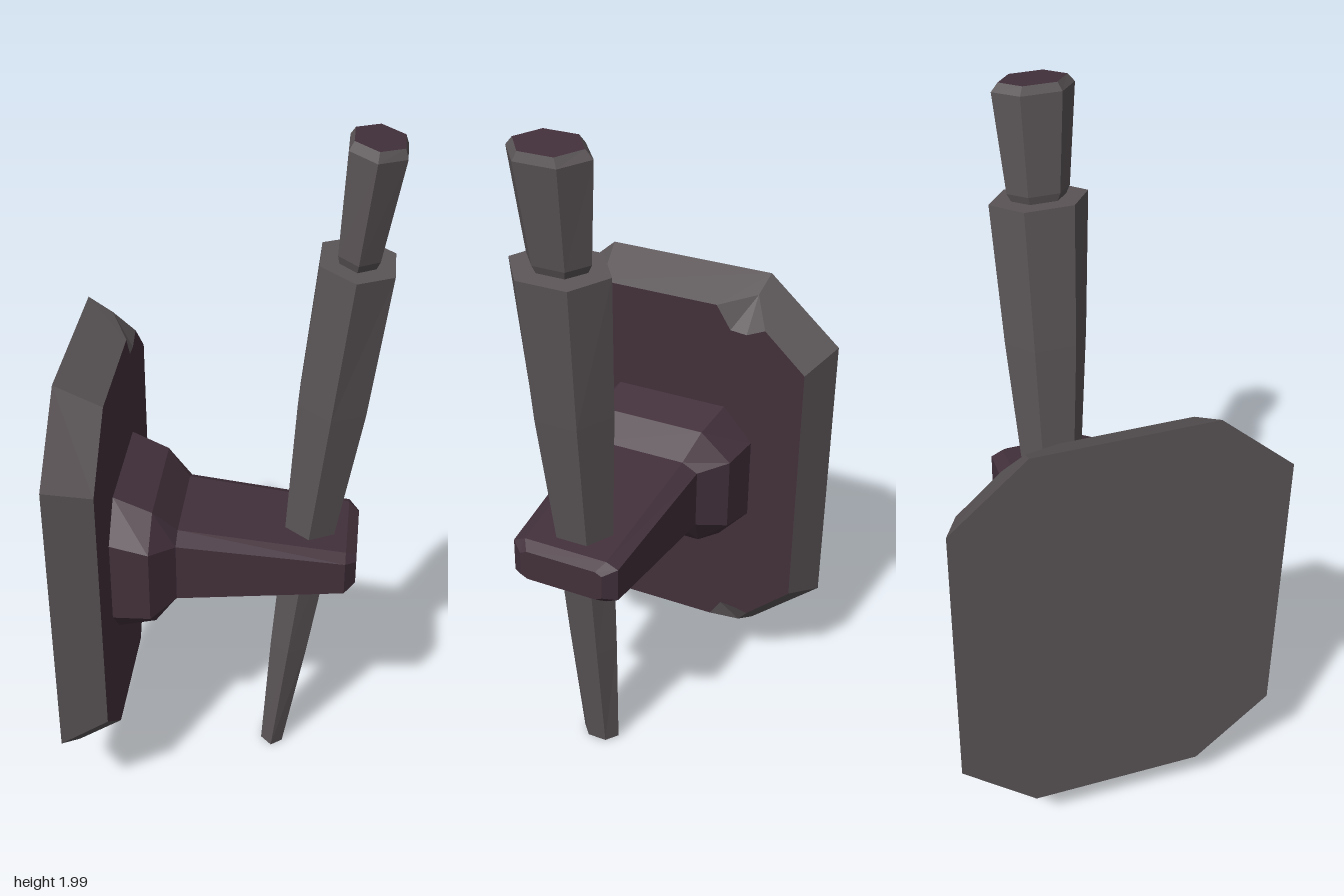
import * as THREE from 'three';

const grey = new THREE.MeshStandardMaterial({ color: 0x5b5557 });
grey.name = 'weathered grey';
const plum = new THREE.MeshStandardMaterial({ color: 0x42303a });
plum.name = 'dark plum';

// Flat-faced mesh from convex polygons, each a loop of [x, y, z] corners
function facets(name, material, polygons) {
  const pos = [];
  for (const p of polygons) {
    for (let i = 1; i < p.length - 1; i++) pos.push(...p[0], ...p[i], ...p[i + 1]);
  }
  const geo = new THREE.BufferGeometry();
  geo.setAttribute('position', new THREE.Float32BufferAttribute(pos, 3));
  geo.computeVertexNormals();
  const mesh = new THREE.Mesh(geo, material);
  mesh.name = name;
  return mesh;
}

// Side quads joining successive rings
function sides(rings) {
  const out = [];
  for (let r = 0; r < rings.length - 1; r++) {
    const a = rings[r], b = rings[r + 1];
    a.forEach((p, i) => {
      const j = (i + 1) % a.length;
      out.push([p, a[j], b[j], b[i]]);
    });
  }
  return out;
}
const flip = (ring) => [...ring].reverse();

// Chamfered rectangle across x: half height h, half width w, flat parts fh and fw
function octagon(x, cy, cz, h, w, fh, fw) {
  return [[h, -fw], [h, fw], [fh, w], [-fh, w], [-h, fw], [-h, -fw], [-fh, -w], [fh, -w]]
    .map(([y, z]) => [x, cy + y, cz + z]);
}

// Six-sided ring across y, slightly flattened in x
function hexagon(y, hx, r) {
  return Array.from({ length: 6 }, (_, i) => {
    const a = (i * Math.PI) / 3;
    return [(Math.sin(a) * hx) / Math.sin(Math.PI / 3), y, Math.cos(a) * r];
  });
}

function createPlate() {
  const group = new THREE.Group();
  group.name = 'wallPlate';
  const X = -0.31;
  const back = octagon(-0.435, 0.76, 0, 0.62, 0.465, 0.43, 0.25);
  const front = octagon(X, 0.76, 0, 0.55, 0.41, 0.385, 0.23);

  // Chipped corners: a peak on the rim and the broken line on the face
  const chips = {
    0: { peak: [-0.365, 1.34, -0.24],
      line: [[X, 1.26, -0.285], [X, 1.235, -0.23], [X, 1.24, -0.18], [X, 1.31, -0.135]] },
    5: { peak: [-0.345, 0.19, -0.236],
      line: [[X, 0.21, -0.15], [X, 0.265, -0.185], [X, 0.26, -0.24], [X, 0.251, -0.275]] },
  };

  // Bevelled rim and back
  const rim = [flip(back)];
  const outline = [];
  back.forEach((b, i) => {
    const j = (i + 1) % 8;
    const enter = chips[j] ? [chips[j].peak, chips[j].line[0]] : [front[j]];
    const leave = chips[i] ? [chips[i].line[3], chips[i].peak] : [front[i]];
    rim.push([b, back[j], ...enter, ...leave]);
    outline.push(...(chips[i] ? chips[i].line : [front[i]]));
  });
  for (const { peak, line } of Object.values(chips)) rim.push([peak, ...flip(line)]);
  group.add(facets('plateRim', grey, rim));

  // Dark face, fanned around its centre
  const centre = [X, 0.76, 0];
  group.add(facets('plateFace', plum,
    outline.map((p, i) => [centre, p, outline[(i + 1) % outline.length]])));
  return group;
}

function createBracket() {
  // Flared foot, tapering arm and bevelled tip
  const rings = [
    octagon(-0.31, 0.758, 0, 0.227, 0.26, 0.125, 0.17),
    octagon(-0.2, 0.76, 0.018, 0.19, 0.257, 0.11, 0.165),
    octagon(-0.135, 0.76, 0.018, 0.115, 0.182, 0.09, 0.135),
    octagon(0.335, 0.76, 0.018, 0.066, 0.16, 0.05, 0.125),
    octagon(0.365, 0.76, 0.018, 0.046, 0.125, 0.036, 0.105),
  ];
  return facets('bracketArm', plum, [...sides(rings), rings[rings.length - 1]]);
}

function createTorch() {
  const group = new THREE.Group();
  group.name = 'torch';
  const shaft = [
    hexagon(0, 0.033, 0.058),
    hexagon(0.4, 0.054, 0.077),
    hexagon(0.84, 0.07, 0.093),
    hexagon(1.25, 0.092, 0.122),
    hexagon(1.667, 0.096, 0.142),
  ];
  group.add(facets('torchShaft', grey, [flip(shaft[0]), ...sides(shaft), shaft[4]]));

  // Narrower head with a dark end
  const head = [
    hexagon(1.66, 0.045, 0.075),
    hexagon(1.69, 0.054, 0.09),
    hexagon(1.97, 0.072, 0.115),
    hexagon(1.993, 0.062, 0.095),
  ];
  group.add(facets('torchHead', grey, sides(head)));
  group.add(facets('torchEnd', plum, [head[3]]));

  // Lean away from the wall
  group.position.set(0.132, 0.004, 0.018);
  group.rotation.z = -0.116;
  return group;
}

export function createModel() {
  const model = new THREE.Group();
  model.name = 'wallTorch';
  model.add(createPlate(), createBracket(), createTorch());
  return model;
}
